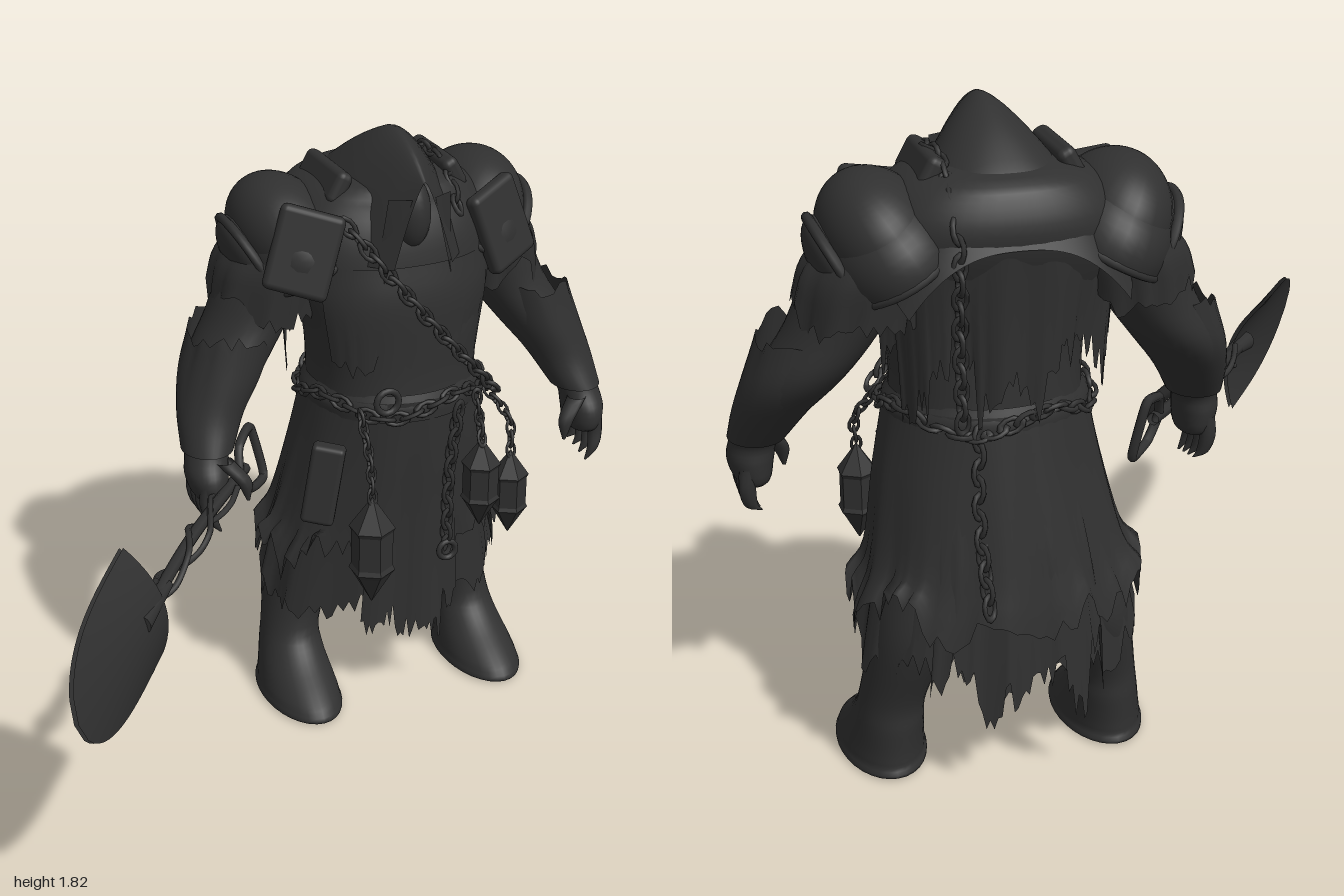
import * as THREE from 'three';
import { RoundedBoxGeometry } from 'three/addons/geometries/RoundedBoxGeometry.js';

const V = (x, y, z) => new THREE.Vector3(x, y, z);
const CX = 0.31; // middle of the body

export function createModel() {
  const root = new THREE.Group();
  root.name = 'hoodedGiant';
  const mat = new THREE.MeshStandardMaterial({ color: 0x303030, side: THREE.DoubleSide });
  mat.name = 'charcoal';

  let seed = 7;
  const rnd = () => (seed = (seed * 16807) % 2147483647) / 2147483647;
  const add = (name, geo, parent = root) => {
    const m = new THREE.Mesh(geo, mat);
    m.name = name;
    parent.add(m);
    return m;
  };

  // surface from a grid of points
  function grid(rows, cols, closed, fn) {
    const pos = [], idx = [], n = closed ? cols : cols + 1;
    for (let i = 0; i <= rows; i++) for (let j = 0; j < n; j++) pos.push(...fn(i / rows, j / cols, j));
    for (let i = 0; i < rows; i++) for (let j = 0; j < cols; j++) {
      const a = i * n + j, b = i * n + (j + 1) % n;
      idx.push(a, b, a + n, b, b + n, a + n);
    }
    const g = new THREE.BufferGeometry();
    g.setAttribute('position', new THREE.Float32BufferAttribute(pos, 3));
    g.setIndex(idx);
    g.computeVertexNormals();
    return g;
  }

  // level oval rings [y, x, z, rx, rz]; rag tears the last ring, from/to limit the arc (0 is the front)
  function loft(rings, { seg = 32, rag = 0, from = 0, to = Math.PI * 2, sq = 1, fold = 0 } = {}) {
    const path = new THREE.CatmullRomCurve3(rings.map(r => V(r[1], r[0], r[2])), false, 'catmullrom');
    const size = new THREE.CatmullRomCurve3(rings.map(r => V(r[3], r[4], 0)), false, 'catmullrom');
    const tear = [];
    let big = 0;
    for (let j = 0; j <= seg; j++) {
      if (j % 6 === 0) big = rnd();
      tear.push(rag * (0.55 * big + 0.45 * rnd()));
    }
    const pw = v => Math.sign(v) * Math.abs(v) ** sq;
    return grid((rings.length - 1) * 4, seg, to - from > 6.28, (t, u, j) => {
      const p = path.getPoint(t), s = size.getPoint(t), a = from + (to - from) * u;
      const k = 1 + fold * t * Math.sin(a * 11 + Math.sin(a * 4));
      return [p.x + s.x * k * pw(Math.sin(a)), Math.max(0, p.y - tear[j] * t ** 3), p.z + s.y * k * pw(Math.cos(a))];
    });
  }

  const tube = (pts, r, n = 24) => new THREE.TubeGeometry(new THREE.CatmullRomCurve3(pts), n, r, 7);

  // chain of alternately turned links
  function chain(name, pts, size = 0.021) {
    const g = new THREE.Group(), curve = new THREE.CatmullRomCurve3(pts);
    g.name = name;
    const n = Math.round(curve.getLength() / (size * 2.1));
    const link = new THREE.TorusGeometry(size, size * 0.34, 6, 10).scale(1.45, 0.85, 1);
    for (let i = 0; i <= n; i++) {
      const m = add('chainLink', link, g);
      m.position.copy(curve.getPointAt(i / n));
      m.quaternion.setFromUnitVectors(V(1, 0, 0), curve.getTangentAt(i / n));
      m.rotateX(i % 2 ? 1.2 : -0.3);
    }
    root.add(g);
  }

  // torso and robe
  add('torso', loft([[0.95, 0.32, -0.35, 0.26, 0.24], [1.1, 0.32, -0.35, 0.25, 0.23], [1.25, 0.32, -0.35, 0.27, 0.23],
    [1.4, CX, -0.39, 0.32, 0.25], [1.52, CX, -0.42, 0.33, 0.26], [1.61, CX, -0.43, 0.29, 0.235],
    [1.67, CX, -0.42, 0.2, 0.19], [1.71, CX, -0.4, 0.01, 0.01]], { seg: 48, sq: 0.85 }));
  const skirt = (name, hem, rag, grow, opt) => add(name, loft([
    [1.05, 0.32, -0.35, 0.25 + grow, 0.24 + grow], [0.85, 0.32, -0.37, 0.29 + grow, 0.25 + grow],
    [0.65, CX, -0.395, 0.335 + grow, 0.26 + grow], [hem, CX, -0.41, 0.385 + grow, 0.265 + grow]],
  { seg: 120, rag, fold: 0.025, ...opt }));
  skirt('innerSkirt', 0.46, 0.2, 0);
  skirt('outerSkirt', 0.62, 0.22, 0.015);
  skirt('frontPanel', 0.38, 0.2, 0.018, { from: -0.42, to: 0.42, seg: 36 });
  skirt('backPanel', 0.45, 0.3, 0.012, { from: 2.5, to: 3.8, seg: 48 });
  add('tornCape', loft([[1.55, CX, -0.42, 0.32, 0.26], [1.42, CX, -0.41, 0.32, 0.25], [1.32, CX, -0.4, 0.3, 0.235]],
    { from: 1.8, to: 4.48, seg: 80, rag: 0.34, fold: 0.04 }));
  add('belt', loft([[1.07, 0.32, -0.35, 0.255, 0.245], [1.03, 0.32, -0.35, 0.275, 0.26], [0.99, 0.32, -0.35, 0.27, 0.26]], { seg: 40 }));
  add('chestWrap', loft([[1.46, CX, -0.39, 0.3, 0.255], [1.35, CX, -0.37, 0.3, 0.255], [1.22, CX, -0.36, 0.27, 0.24]],
    { from: -1, to: 1, seg: 40, rag: 0.12, sq: 0.85 }));

  // hood: arches [z, top, half width, base, roundness]
  const arches = [[-0.1, 1.72, 0.09, 1.47, 1.3], [-0.19, 1.785, 0.16, 1.47, 1.5], [-0.31, 1.82, 0.215, 1.5, 1.6],
    [-0.42, 1.785, 0.25, 1.5, 1.9], [-0.53, 1.72, 0.28, 1.45, 2.2], [-0.62, 1.64, 0.3, 1.4, 2.4], [-0.685, 1.51, 0.28, 1.36, 2.6]];
  const archA = new THREE.CatmullRomCurve3(arches.map(a => V(a[0], a[1], a[2])), false, 'catmullrom');
  const archB = new THREE.CatmullRomCurve3(arches.map(a => V(a[3], a[4], 0)), false, 'catmullrom');
  add('hood', grid(24, 32, false, (t, u) => {
    const a = archA.getPoint(t), b = archB.getPoint(t), k = 2 * u - 1;
    return [CX + a.z * k, b.x + (a.y - b.x) * (1 - Math.abs(k) ** b.y), a.x];
  }));
  add('face', new THREE.SphereGeometry(1, 20, 14).scale(0.06, 0.11, 0.07)).position.set(CX, 1.6, -0.2);
  // loose cloth strips falling from the hood edge
  for (const s of [-1, 1])
    add('hoodDrape', grid(10, 3, false, (t, u) => [CX + s * (0.035 + 0.07 * t + (0.06 - 0.045 * t) * u),
      1.67 - 0.25 * t, -0.105 - 0.03 * t - 0.03 * u]));

  // limbs and armour, the same on both sides
  for (const s of [-1, 1]) {
    const side = s > 0 ? 'left' : 'right';
    const at = rings => rings.map(([y, dx, ...r]) => [y, CX + s * dx, ...r]);
    add(side + 'Leg', loft(at([[0.75, 0.16, -0.42, 0.14, 0.15], [0.55, 0.21, -0.44, 0.125, 0.15], [0.4, 0.25, -0.45, 0.108, 0.14],
      [0.22, 0.295, -0.42, 0.09, 0.11], [0.14, 0.305, -0.39, 0.095, 0.135], [0.07, 0.31, -0.335, 0.108, 0.185],
      [0.03, 0.312, -0.31, 0.115, 0.21], [0, 0.312, -0.31, 0.112, 0.205], [0, 0.312, -0.31, 0.005, 0.005]])));
    add(side + 'Arm', loft(at([[1.6, 0.25, -0.43, 0.08, 0.1], [1.45, 0.33, -0.43, 0.135, 0.15], [1.28, 0.415, -0.42, 0.125, 0.14],
      [1.15, 0.5, -0.39, 0.115, 0.14], [1.02, 0.575, -0.32, 0.088, 0.1], [0.93, 0.61, -0.26, 0.065, 0.07],
      [0.87, 0.62, -0.24, 0.062, 0.085], [0.81, 0.615, -0.235, 0.045, 0.075], [0.79, 0.61, -0.235, 0.005, 0.01]])));
    add(side + 'Bracer', loft(at([[0.94, 0.605, -0.27, 0.076, 0.09], [1.03, 0.573, -0.325, 0.098, 0.11], [1.12, 0.525, -0.37, 0.12, 0.14],
      [1.2, 0.485, -0.385, 0.122, 0.14]]), { rag: -0.09, seg: 36 }));
    add(side + 'Sleeve', loft(at([[1.55, 0.29, -0.43, 0.11, 0.19], [1.45, 0.33, -0.44, 0.16, 0.2], [1.38, 0.355, -0.44, 0.165, 0.185]]),
      { rag: 0.12, seg: 60, fold: 0.03 }));

    // fingers and thumb
    for (let i = 0; i < 4; i++) {
      const z = -0.18 - i * 0.04;
      add(side + 'Finger', loft(at([[0.86, 0.635, z, 0.024, 0.021], [0.8, 0.64, z, 0.023, 0.02],
        [0.75, 0.63, z + 0.01, 0.018, 0.017], [0.71 + i * 0.008, 0.605, z + 0.012, 0.004, 0.004]]), { seg: 10 }));
    }
    add(side + 'Thumb', loft(at([[0.92, 0.58, -0.2, 0.03, 0.03], [0.86, 0.53, -0.17, 0.024, 0.024], [0.8, 0.52, -0.16, 0.005, 0.005]]), { seg: 10 }));

    // layered shoulder armour
    const pad = new THREE.Group();
    pad.name = side + 'Pauldron';
    pad.position.set(CX + s * 0.28, 1.47, -0.44);
    pad.rotation.z = -s * 0.5;
    const dome = (name, rx, ry, rz, end, x, y) =>
      add(name, new THREE.SphereGeometry(1, 32, 14, 0, Math.PI * 2, 0, end).scale(rx, ry, rz), pad).position.set(s * x, y, 0);
    dome('lowerPlate', 0.175, 0.18, 0.25, 1.75, 0, -0.01);
    dome('upperPlate', 0.15, 0.185, 0.22, 1.3, 0, 0.035);
    dome('outerShield', 0.07, 0.16, 0.15, 1.9, 0.12, 0.01);
    const rim = add('rim', new THREE.TorusGeometry(1, 0.06, 8, 36).rotateX(Math.PI / 2).scale(0.17, 0.2, 0.238), pad);
    rim.position.y = -0.035;
    const arch = add('shieldRim', new THREE.TorusGeometry(0.15, 0.014, 8, 24, Math.PI).rotateY(Math.PI / 2), pad);
    arch.position.set(s * 0.125, 0.02, 0);
    root.add(pad);
    const plate = add(side + 'ChestPlate', new RoundedBoxGeometry(0.19, 0.25, 0.05, 3, 0.02));
    plate.position.set(CX + s * 0.31, 1.51, -0.235);
    plate.rotation.set(-0.25, s * 0.4, s * 0.35);
    const collar = add(side + 'Collar', new RoundedBoxGeometry(0.05, 0.1, 0.26, 3, 0.02));
    collar.position.set(CX + s * 0.18, 1.665, -0.4);
    collar.rotation.z = s * 0.5;
  }

  // chains
  const waist = [];
  for (let i = 0; i <= 24; i++) {
    const a = i / 24 * Math.PI * 2;
    waist.push(V(0.32 + 0.28 * Math.sin(a), 1.03 + 0.025 * Math.sin(a * 4), -0.35 + 0.265 * Math.cos(a)));
  }
  chain('waistChain', waist);
  chain('chestChain', [V(0.12, 1.58, -0.2), V(0.2, 1.47, -0.135), V(0.35, 1.28, -0.11), V(0.48, 1.13, -0.12), V(0.58, 1.02, -0.17)]);
  chain('shoulderChain', [V(0.46, 1.6, -0.2), V(0.47, 1.69, -0.32), V(0.46, 1.7, -0.46), V(0.46, 1.61, -0.62), V(0.46, 1.5, -0.67),
    V(0.45, 1.28, -0.62), V(0.44, 1.04, -0.59)]);
  chain('hangingChain', [V(0.43, 1, -0.09), V(0.41, 0.8, -0.1), V(0.41, 0.54, -0.11)]);
  chain('backChain', [V(0.4, 1, -0.6), V(0.41, 0.8, -0.63), V(0.4, 0.56, -0.68)]);
  add('chainRing', new THREE.TorusGeometry(0.028, 0.009, 8, 16)).position.set(0.41, 0.53, -0.1);
  add('beltRing', new THREE.TorusGeometry(0.035, 0.01, 8, 16)).position.set(0.2, 1.07, -0.09);

  // six-sided hanging lanterns [x, z, bottom, top, radius]
  for (const [x, z, lo, hi, r] of [[0.13, -0.035, 0.45, 0.8, 0.07], [0.505, -0.08, 0.61, 0.9, 0.06], [0.625, -0.12, 0.54, 0.82, 0.058]]) {
    const h = hi - lo;
    const prof = [[0.002, 0], [r * 0.85, h * 0.28], [r, h * 0.32], [r * 0.9, h * 0.36], [r * 0.9, h * 0.68], [r, h * 0.72], [r * 0.2, h * 0.95], [0.002, h]];
    const body = new THREE.LatheGeometry(prof.map(p => new THREE.Vector2(...p)), 6).toNonIndexed();
    body.computeVertexNormals();
    add('lantern', body).position.set(x, lo, z);
    chain('lanternChain', [V(x, hi, z), V(x + 0.005, (hi + 1) / 2, z - 0.03), V(x > 0.6 ? 0.56 : x, 1.02, x > 0.6 ? -0.2 : -0.12)], 0.016);
  }
  const pouch = add('pouch', new RoundedBoxGeometry(0.1, 0.25, 0.06, 3, 0.015));
  pouch.position.set(0.03, 0.8, -0.17);
  pouch.rotation.set(-0.1, -0.5, -0.2);

  // shovel, with its own x along the blade and y across it
  const shovel = new THREE.Group();
  shovel.name = 'shovel';
  const along = V(-0.355, -0.035, 0.42).normalize();
  const across = V(-0.085, 0.335, -0.02);
  across.addScaledVector(along, -across.dot(along)).normalize();
  const face = along.clone().cross(across);
  shovel.applyMatrix4(new THREE.Matrix4().makeBasis(along, across, face).setPosition(-0.645, 0.805, 0.285));
  for (const [name, off] of [['bladeFront', 0.006], ['bladeBack', -0.006]])
    add(name, grid(28, 16, false, (t, u) => {
      const k = 2 * u - 1, w = 0.175 * Math.sqrt(Math.max(0, 1 - t ** 3.6));
      return [0.56 * t + 0.015 * k * (1 - t), w * k, off + 0.06 * (k * k * (1 - t) - 0.4)];
    }), shovel);
  add('socket', new THREE.CylinderGeometry(0.012, 0.03, 0.2, 12).rotateZ(Math.PI / 2), shovel).position.set(0.02, 0, -0.012);
  add('shaft', tube([V(0.1, 0, -0.01), V(-0.3, 0.008, 0.008), V(-0.72, 0, 0)], 0.018), shovel);
  for (const ph of [0, 2.6]) {
    const vine = [];
    for (let i = 0; i <= 9; i++) {
      const a = i * 0.95 + ph, r = 0.022 + 0.014 * rnd();
      vine.push(V(-0.04 - i * 0.062, r * Math.cos(a), r * Math.sin(a)));
    }
    add('vine', tube(vine, 0.009, 60), shovel);
  }
  add('gripFrame', new THREE.TubeGeometry(new THREE.CatmullRomCurve3([V(-0.68, 0, 0), V(-0.72, 0.07, 0), V(-0.82, 0.085, 0),
    V(-0.83, 0, 0), V(-0.82, -0.085, 0), V(-0.72, -0.07, 0)], true, 'catmullrom', 0.3), 48, 0.014, 8), shovel);
  root.add(shovel);

  return root;
}
